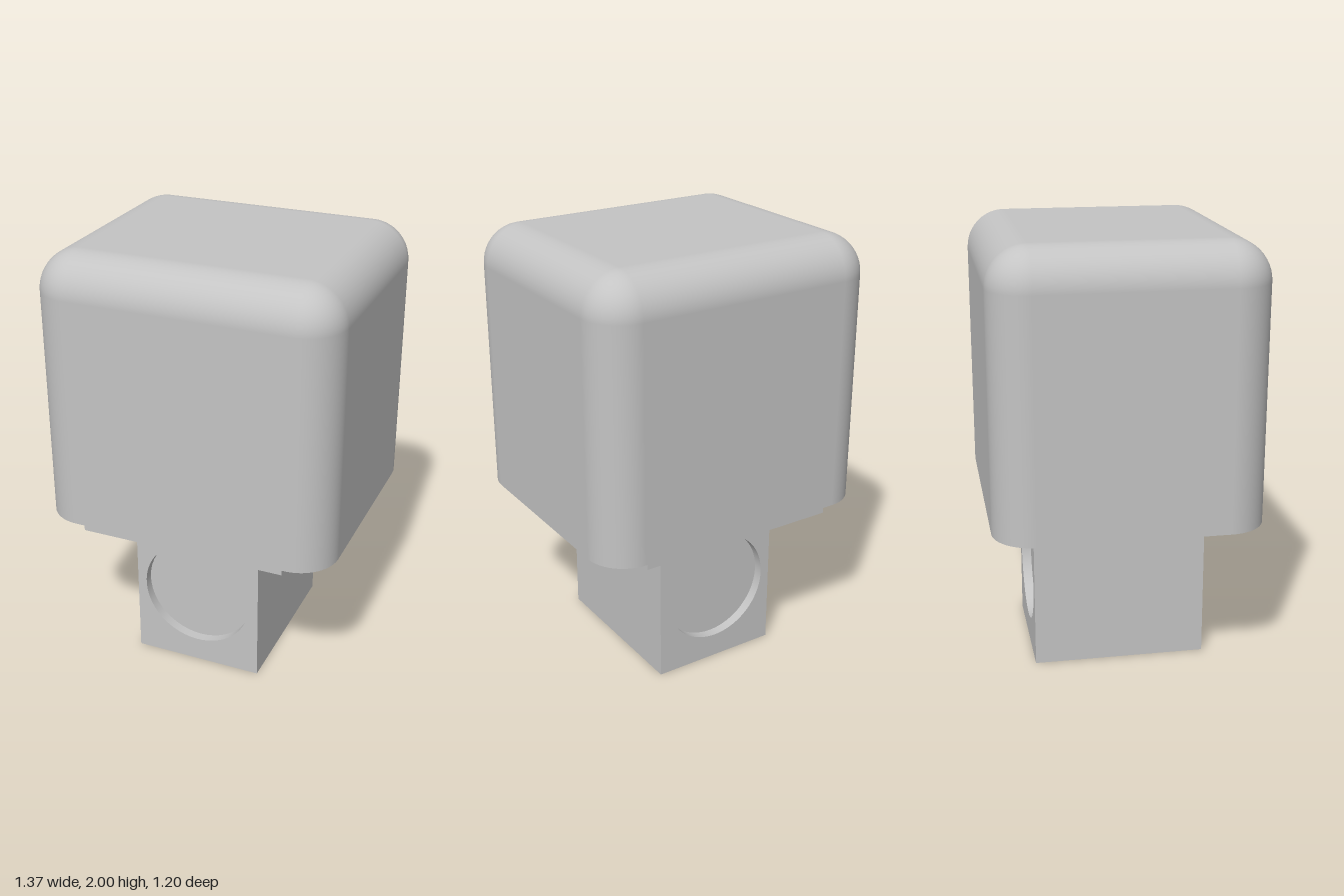
import * as THREE from 'three';
import { toCreasedNormals } from 'three/addons/utils/BufferGeometryUtils.js';

// Box with rounded top and vertical edges and a flat, sharp-edged underside
function roundedTopBox(halfX, halfZ, bottom, top, radius) {
  const cornerSteps = 12;
  const positions = [], normals = [], index = [];
  const add = (x, y, z, nx, ny, nz) => {
    positions.push(x, y, z);
    normals.push(nx, ny, nz);
    return positions.length / 3 - 1;
  };

  // One rounded-rectangle ring; tilt runs from 0 (wall) to a quarter turn (top)
  const addRing = (y, tilt, facingDown = false) => {
    const ring = [];
    const c = Math.cos(tilt), s = Math.sin(tilt);
    for (let corner = 0; corner < 4; corner++) {
      const sx = corner === 0 || corner === 3 ? 1 : -1;
      const sz = corner < 2 ? 1 : -1;
      for (let i = 0; i <= cornerSteps; i++) {
        const a = (corner + i / cornerSteps) * Math.PI / 2;
        const dx = Math.cos(a) * c, dz = Math.sin(a) * c;
        const normal = facingDown ? [0, -1, 0] : [dx, s, dz];
        ring.push(add(sx * (halfX - radius) + radius * dx, y,
          sz * (halfZ - radius) + radius * dz, ...normal));
      }
    }
    return ring;
  };

  const rings = [addRing(bottom, 0)];
  for (let i = 0; i <= cornerSteps; i++) {
    const tilt = (i / cornerSteps) * Math.PI / 2;
    rings.push(addRing(top - radius + radius * Math.sin(tilt), tilt));
  }
  const count = rings[0].length;
  for (let r = 0; r < rings.length - 1; r++) {
    for (let i = 0; i < count; i++) {
      const j = (i + 1) % count, lower = rings[r], upper = rings[r + 1];
      index.push(lower[i], upper[i], lower[j], upper[i], upper[j], lower[j]);
    }
  }

  // Flat caps
  const topRing = rings[rings.length - 1];
  const topCentre = add(0, top, 0, 0, 1, 0);
  const bottomRing = addRing(bottom, 0, true);
  const bottomCentre = add(0, bottom, 0, 0, -1, 0);
  for (let i = 0; i < count; i++) {
    const j = (i + 1) % count;
    index.push(topCentre, topRing[j], topRing[i]);
    index.push(bottomCentre, bottomRing[i], bottomRing[j]);
  }

  const geometry = new THREE.BufferGeometry();
  geometry.setAttribute('position', new THREE.Float32BufferAttribute(positions, 3));
  geometry.setAttribute('normal', new THREE.Float32BufferAttribute(normals, 3));
  geometry.setIndex(index);
  return geometry;
}

export function createModel() {
  const model = new THREE.Group();
  const grey = new THREE.MeshStandardMaterial({ color: 0xc4c4c4 });
  grey.name = 'light grey';

  const addPart = (name, geometry, x = 0, y = 0, z = 0) => {
    const mesh = new THREE.Mesh(geometry, grey);
    mesh.name = name;
    mesh.position.set(x, y, z);
    model.add(mesh);
    return mesh;
  };

  // Large rounded upper block
  addPart('upperBlock', roundedTopBox(0.685, 0.6, 0.75, 2, 0.18));

  // Thin plate beneath it
  addPart('collarPlate', new THREE.BoxGeometry(0.96, 0.045, 1.14), 0, 0.7275, 0);

  // Base block with a round opening at the front and back
  const halfWidth = 0.305, halfDepth = 0.397, height = 0.705;
  const holeY = 0.375, holeRadius = 0.262, recess = 0.045;
  const outline = new THREE.Shape([
    new THREE.Vector2(-halfWidth, 0), new THREE.Vector2(halfWidth, 0),
    new THREE.Vector2(halfWidth, height), new THREE.Vector2(-halfWidth, height),
  ]);
  outline.holes.push(new THREE.Path().absarc(0, holeY, holeRadius, 0, Math.PI * 2, true));
  const base = new THREE.ExtrudeGeometry(outline, {
    depth: halfDepth * 2, bevelEnabled: false, curveSegments: 48,
  });
  addPart('baseBlock', toCreasedNormals(base, 0.6), 0, 0, -halfDepth);

  // Recessed floor of each opening
  for (const side of [1, -1]) {
    const floor = addPart(side > 0 ? 'frontRecessFloor' : 'backRecessFloor',
      new THREE.CircleGeometry(holeRadius, 48), 0, holeY, side * (halfDepth - recess));
    if (side < 0) floor.rotation.y = Math.PI;
  }

  return model;
}
